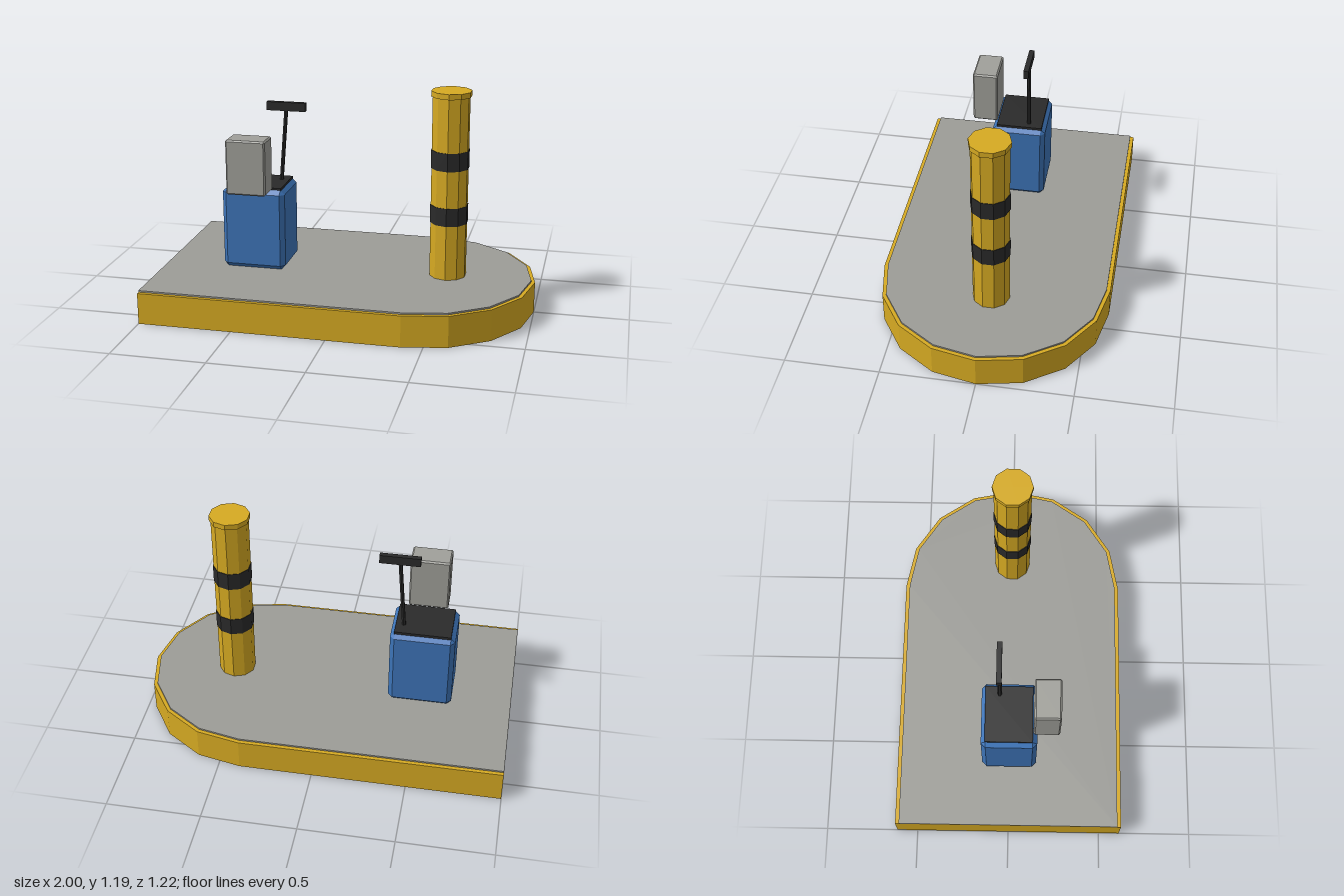
import * as THREE from 'three';
import { ConvexGeometry } from 'three/addons/geometries/ConvexGeometry.js';

const material = (name, color) => {
  const m = new THREE.MeshStandardMaterial({ color, flatShading: true });
  m.name = name;
  return m;
};

// Box with every edge cut by a flat chamfer c
function chamferBox(w, h, d, c) {
  const points = [];
  for (const x of [-w / 2, w / 2])
    for (const y of [-h / 2, h / 2])
      for (const z of [-d / 2, d / 2]) {
        const sx = c * Math.sign(x), sy = c * Math.sign(y), sz = c * Math.sign(z);
        points.push(
          new THREE.Vector3(x, y - sy, z - sz),
          new THREE.Vector3(x - sx, y, z - sz),
          new THREE.Vector3(x - sx, y - sy, z));
      }
  return new ConvexGeometry(points);
}

// Slab with a square left end and a half-round right end
function islandSlab(radius, height) {
  const centre = 0.388, steps = 8;
  const shape = new THREE.Shape();
  shape.moveTo(-1, -radius);
  for (let i = 0; i <= steps; i++) {
    const a = -Math.PI / 2 + (i / steps) * Math.PI;
    shape.lineTo(centre + radius * Math.cos(a), radius * Math.sin(a));
  }
  shape.lineTo(-1, radius);
  shape.closePath();
  return new THREE.ExtrudeGeometry(shape, { depth: height, bevelEnabled: false })
    .rotateX(-Math.PI / 2);
}

export function createModel() {
  const yellow = material('yellow paint', 0xd6aa22);
  const concrete = material('grey concrete', 0x9c9c97);
  const blue = material('blue cabinet', 0x3d74b8);
  const black = material('black', 0x2a2a2a);
  const grey = material('grey casing', 0xa0a09a);

  const group = new THREE.Group();
  group.name = 'island';
  const add = (name, geometry, mat, x, y, z) => {
    const mesh = new THREE.Mesh(geometry, mat);
    mesh.name = name;
    mesh.position.set(x, y, z);
    group.add(mesh);
    return mesh;
  };

  // Raised island with a thin top surface
  add('kerb', islandSlab(0.612, 0.169), yellow, 0, 0, 0);
  add('deck', islandSlab(0.592, 0.009), concrete, 0, 0.169, 0);

  // Ten-sided bollard with cap and two dark bands
  const px = 0.532;
  const drum = (name, r, y0, y1, mat) =>
    add(name, new THREE.CylinderGeometry(r, r, y1 - y0, 10), mat, px, (y0 + y1) / 2, 0);
  drum('bollardPost', 0.099, 0.178, 1.158, yellow);
  drum('bollardCap', 0.107, 1.157, 1.186, yellow);
  drum('lowerBand', 0.102, 0.477, 0.575, black);
  drum('upperBand', 0.102, 0.775, 0.873, black);

  // Cabinet with dark lid and a casing on its front edge
  add('cabinet', chamferBox(0.344, 0.447, 0.294, 0.024), blue, -0.508, 0.4015, 0);
  add('cabinetLid', new THREE.BoxGeometry(0.3, 0.02, 0.25), black, -0.507, 0.625, -0.002);
  add('casing', chamferBox(0.214, 0.296, 0.137, 0.008), grey, -0.508, 0.775, 0.196);

  // Leaning stalk with a crossbar
  const foot = new THREE.Vector3(-0.4, 0.625, -0.052);
  const head = new THREE.Vector3(-0.368, 1.03, -0.052);
  const middle = foot.clone().lerp(head, 0.5);
  const stalk = add('stalk', new THREE.CylinderGeometry(0.011, 0.011, foot.distanceTo(head), 6),
    black, middle.x, middle.y, middle.z);
  stalk.quaternion.setFromUnitVectors(new THREE.Vector3(0, 1, 0), head.clone().sub(foot).normalize());
  add('crossbar', new THREE.BoxGeometry(0.214, 0.047, 0.027), black, -0.367, 1.045, -0.052);

  return group;
}
